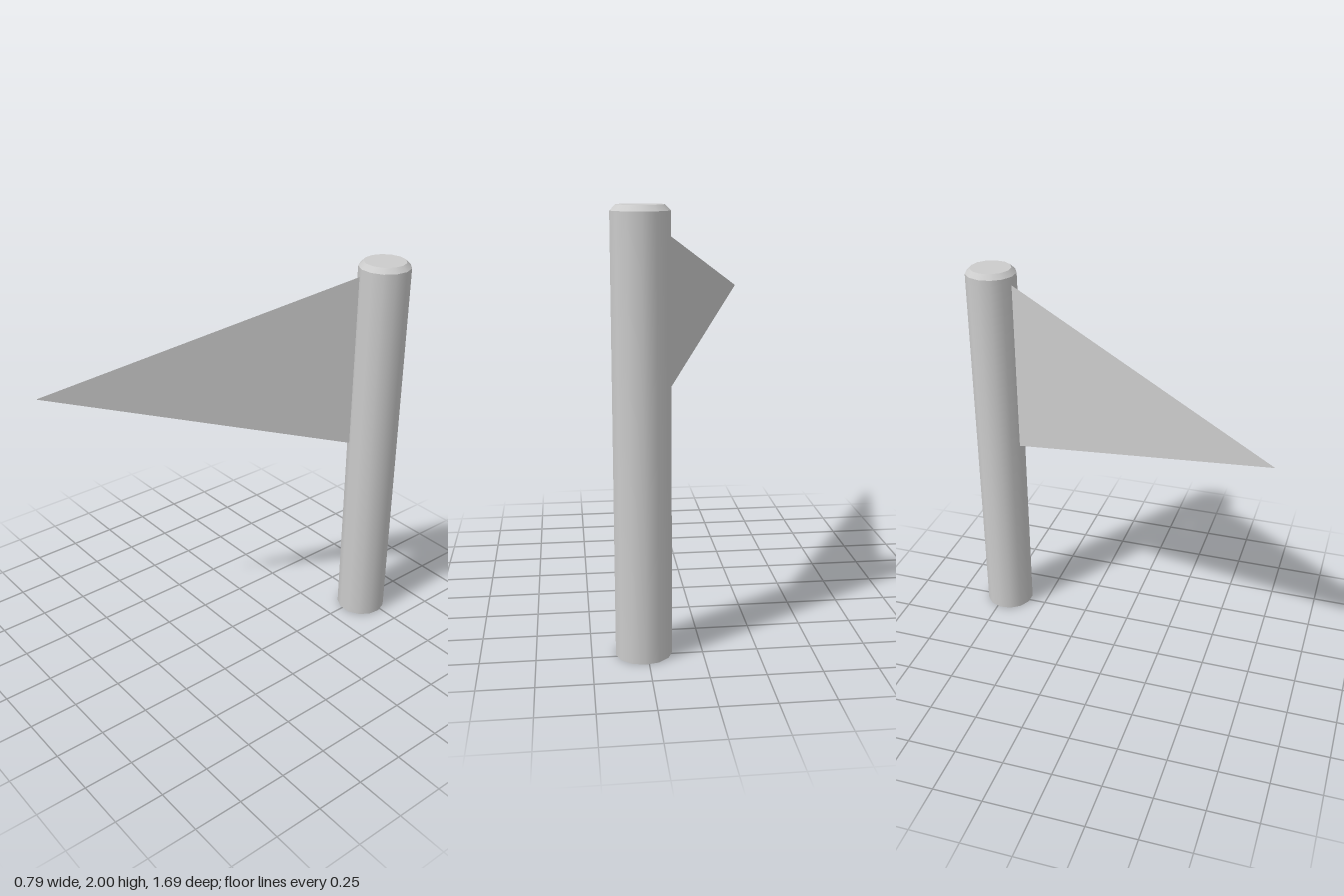
import * as THREE from 'three';

const SIDES = 13;
const RADIUS = 0.1285;
const TOP_RADIUS = 0.104;
const SHOULDER = 1.975;

export function createModel() {
  const model = new THREE.Group();
  model.name = 'pennantOnPole';
  const material = new THREE.MeshStandardMaterial({ color: 0xcccccc });

  const add = (parent, name, geometry, mat = material) => {
    const mesh = new THREE.Mesh(geometry, mat);
    mesh.name = name;
    parent.add(mesh);
    return mesh;
  };

  // Pole: smooth shaft, bevelled rim and flat ends
  const pole = new THREE.Group();
  pole.name = 'pole';
  pole.position.set(0.265, 0, -0.718);
  pole.rotation.y = Math.PI;
  model.add(pole);

  add(pole, 'shaft', new THREE.CylinderGeometry(RADIUS, RADIUS, SHOULDER, SIDES, 1, true))
    .position.y = SHOULDER / 2;
  add(pole, 'bevel', new THREE.CylinderGeometry(TOP_RADIUS, RADIUS, 2 - SHOULDER, SIDES, 1, true))
    .position.y = (2 + SHOULDER) / 2;

  // CircleGeometry starts at +x, so a quarter turn lines its corners up with the shaft
  const topCap = add(pole, 'topCap', new THREE.CircleGeometry(TOP_RADIUS, SIDES, -Math.PI / 2));
  topCap.rotation.x = -Math.PI / 2;
  topCap.position.y = 2;
  const bottomCap = add(pole, 'bottomCap', new THREE.CircleGeometry(RADIUS, SIDES, Math.PI / 2));
  bottomCap.rotation.x = Math.PI / 2;

  // Flag: one thin triangular sheet reaching forward from the pole
  const flagGeometry = new THREE.BufferGeometry().setFromPoints([
    new THREE.Vector3(0.222, 1.935, -0.593),
    new THREE.Vector3(-0.398, 1.488, 0.846),
    new THREE.Vector3(0.222, 1.042, -0.593),
  ]);
  flagGeometry.computeVertexNormals();
  const cloth = material.clone();
  cloth.side = THREE.DoubleSide;
  add(model, 'flag', flagGeometry, cloth);

  return model;
}
